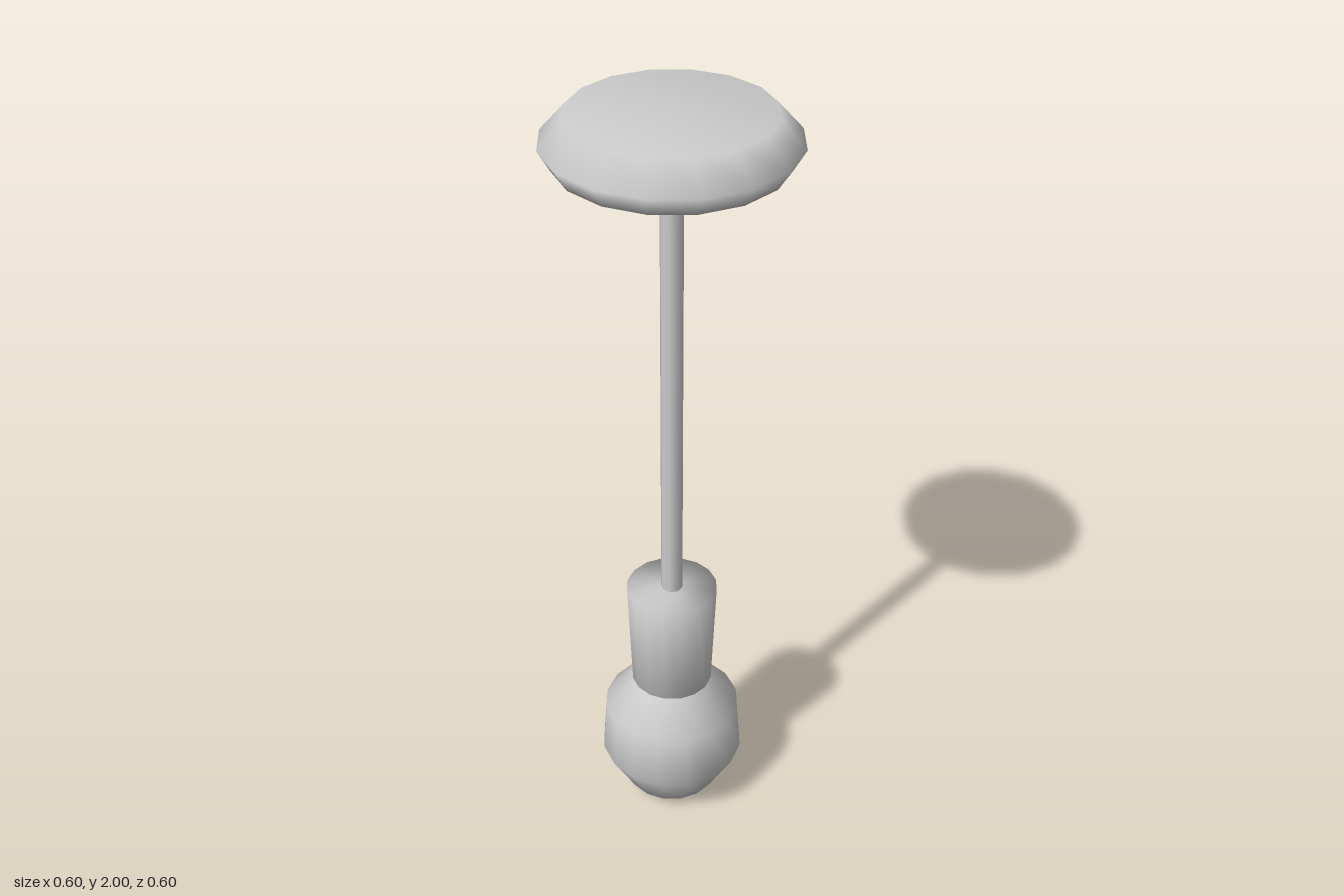
import * as THREE from 'three';

const material = new THREE.MeshStandardMaterial({ color: 0xcccccc });

// Turned part from a [radius, height] profile listed bottom to top
function turned(name, profile, sides) {
  const points = profile.map(([r, y]) => new THREE.Vector2(r, y));
  const mesh = new THREE.Mesh(new THREE.LatheGeometry(points, sides), material);
  mesh.name = name;
  return mesh;
}

export function createModel() {
  const lamp = new THREE.Group();
  lamp.name = 'pendantLamp';

  // Ceiling plate with bevelled rim
  lamp.add(turned('ceilingPlate', [[0, 1.887], [0.27, 1.887], [0.298, 1.935], [0.24, 2], [0, 2]], 16));

  // Hanging rod
  const rod = new THREE.Mesh(new THREE.CylinderGeometry(0.028, 0.028, 1.2, 8), material);
  rod.name = 'rod';
  rod.position.y = 1.29;
  lamp.add(rod);

  // Tapered bulb socket
  lamp.add(turned('socket', [[0, 0.39], [0.106, 0.39], [0.118, 0.69], [0, 0.69]], 16));

  // Faceted-profile bulb with a shallow pointed base
  lamp.add(turned('bulb', [[0, 0.004], [0.122, 0.033], [0.19, 0.155], [0.179, 0.298], [0.1, 0.39]], 16));

  return lamp;
}
